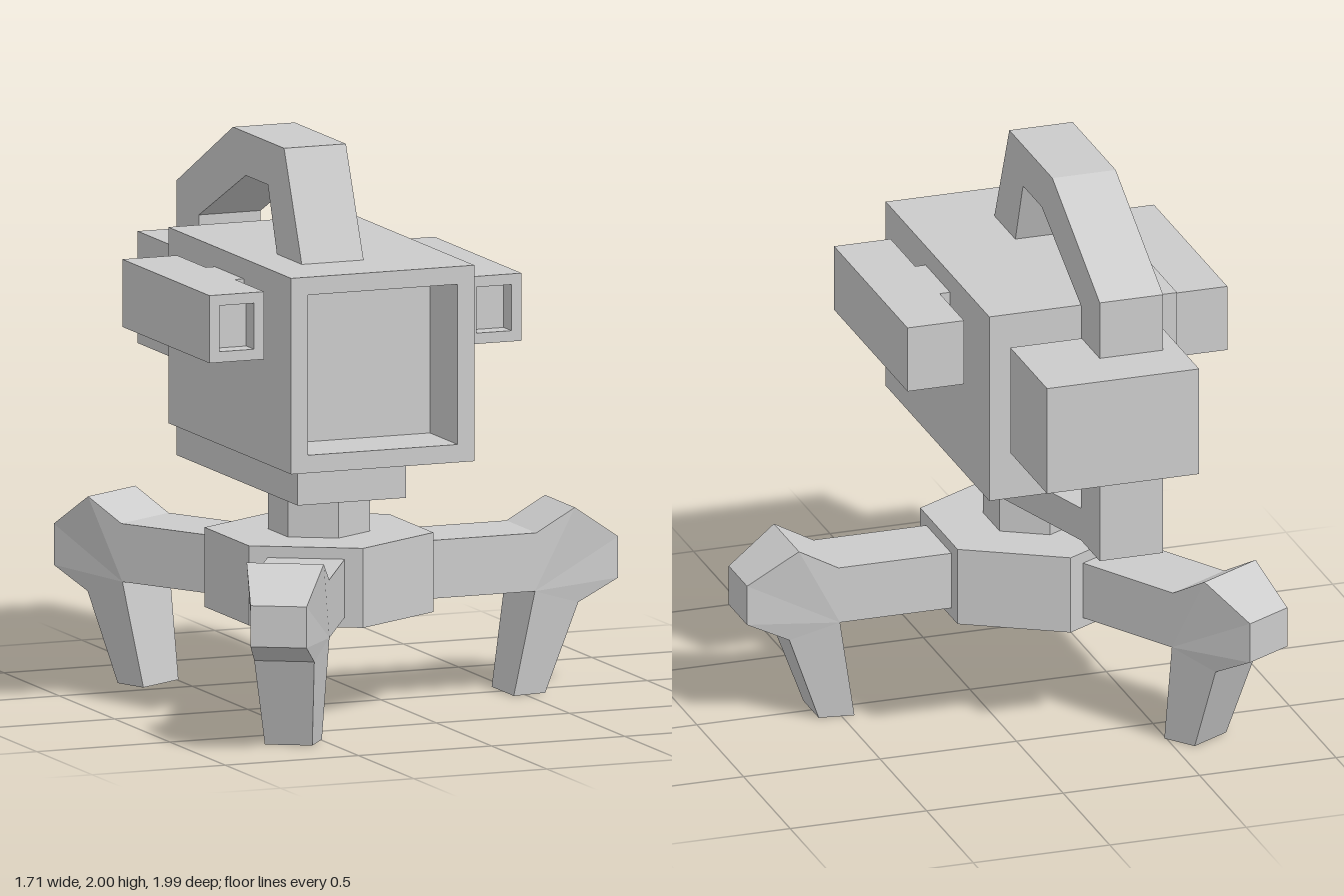
import * as THREE from 'three';

const CX = -0.235, CZ = 0.006; // axis of the tripod
const mat = new THREE.MeshStandardMaterial({ color: 0xcccccc, flatShading: true });

function add(parent, name, geo, x = 0, y = 0, z = 0) {
  const mesh = new THREE.Mesh(geo, mat);
  mesh.name = name;
  mesh.position.set(x, y, z);
  parent.add(mesh);
  return mesh;
}

// Box given by its minimum and maximum corners
function box(parent, name, [x0, y0, z0], [x1, y1, z1]) {
  return add(parent, name, new THREE.BoxGeometry(x1 - x0, y1 - y0, z1 - z0),
    (x0 + x1) / 2, (y0 + y1) / 2, (z0 + z1) / 2);
}

function extrude(points, depth) {
  const shape = new THREE.Shape(points.map(p => new THREE.Vector2(...p)));
  return new THREE.ExtrudeGeometry(shape, { depth, bevelEnabled: false });
}

// Box with a square pocket in its front face
function hollowBox(parent, name, min, max, rim, depth) {
  const g = new THREE.Group();
  g.name = name;
  parent.add(g);
  const [x0, y0, z0] = min, [x1, y1, z1] = max;
  box(g, name + 'Body', min, [x1, y1, z1 - depth]);
  const rect = (d) => [[x0 + d, y0 + d], [x1 - d, y0 + d], [x1 - d, y1 - d], [x0 + d, y1 - d]]
    .map(p => new THREE.Vector2(...p));
  const shape = new THREE.Shape(rect(0));
  shape.holes.push(new THREE.Path(rect(rim).reverse()));
  add(g, name + 'Rim', new THREE.ExtrudeGeometry(shape, { depth, bevelEnabled: false }), 0, 0, z1 - depth);
}

// Leg lofted along four-cornered sections: [outer r, y, half width, inner r, y, half width]
function legGeometry() {
  const knee = [0.755, 0.37, 0.135];
  const sections = [
    [0.33, 0.575, 0.135, 0.33, 0.37, 0.135],
    [0.76, 0.575, 0.135, ...knee],
    [0.905, 0.655, 0.135, ...knee],
    [1.083, 0.535, 0.098, ...knee],
    [1.083, 0.39, 0.098, ...knee],
    [0.93, 0.315, 0.105, ...knee],
    [0.815, 0, 0.083, 0.69, 0, 0.1],
  ];
  const rings = sections.map(([a, b, w, c, d, v]) => [[a, b, w], [a, b, -w], [c, d, -v], [c, d, v]]
    .map(p => new THREE.Vector3(...p)));
  const pos = [];
  const tri = (a, b, c) => {
    if (a.equals(b) || b.equals(c) || a.equals(c)) return;
    for (const p of [a, b, c]) pos.push(p.x, p.y, p.z);
  };
  const quad = (a, b, c, d) => { tri(a, b, c); tri(a, c, d); };
  for (let i = 0; i + 1 < rings.length; i++) {
    for (let k = 0; k < 4; k++) {
      const n = (k + 1) % 4;
      quad(rings[i][k], rings[i + 1][k], rings[i + 1][n], rings[i][n]);
    }
  }
  const [a, b, c, d] = rings[rings.length - 1];
  quad(a, d, c, b);
  const geo = new THREE.BufferGeometry();
  geo.setAttribute('position', new THREE.Float32BufferAttribute(pos, 3));
  geo.computeVertexNormals();
  return geo;
}

export function createModel() {
  const model = new THREE.Group();
  model.name = 'tripodDevice';

  // Tripod: hexagonal hub and neck, three legs
  add(model, 'hub', new THREE.CylinderGeometry(0.4, 0.4, 0.28, 6), CX, 0.475, CZ);
  add(model, 'neck', new THREE.CylinderGeometry(0.178, 0.178, 0.15, 6), CX, 0.687, CZ);
  const leg = legGeometry();
  for (let i = 0; i < 3; i++) {
    add(model, 'leg' + (i + 1), leg, CX, 0, CZ).rotation.y = i * Math.PI * 2 / 3;
  }

  // Support arm, tapering towards the rear post
  const arm = extrude([[-0.437, -0.3], [-0.03, -0.3], [-0.03, 0.006], [-0.205, 0.593], [-0.437, 0.593]], 0.12);
  arm.rotateX(-Math.PI / 2);
  add(model, 'supportArm', arm, 0, 0.762, 0);

  // Rear post and top handle, one bent bar (profile in z, y)
  const bar = extrude([
    [0.337, 1.617], [0.177, 2], [-0.285, 2], [-0.793, 1.73], [-0.793, 0.762],
    [-0.593, 0.762], [-0.593, 1.64], [-0.17, 1.848], [0.03, 1.848], [0.112, 1.617],
  ], 0.232);
  bar.rotateY(-Math.PI / 2);
  add(model, 'postAndHandle', bar, -0.205, 0, 0);

  // Rear pack on the post
  box(model, 'rearPack', [-0.5, 1.128, -0.995], [0.057, 1.522, -0.6]);

  // Main housing with a deep front opening
  hollowBox(model, 'housing', [-0.578, 0.927, -0.53], [0.11, 1.617, 0.58], 0.063, 0.25);

  // Side pods and their brackets
  for (const s of [-1, 1]) {
    const side = s > 0 ? 'left' : 'right';
    const [x0, x1] = s > 0 ? [0.148, 0.355] : [-0.817, -0.612];
    hollowBox(model, side + 'Pod', [x0, 1.308, -0.37], [x1, 1.546, 0.417], 0.038, 0.07);
    const [b0, b1] = s > 0 ? [0.1, x0] : [x1, -0.57];
    box(model, side + 'PodBracket', [b0, 1.308, -0.11], [b1, 1.546, 0.153]);
  }
  return model;
}
